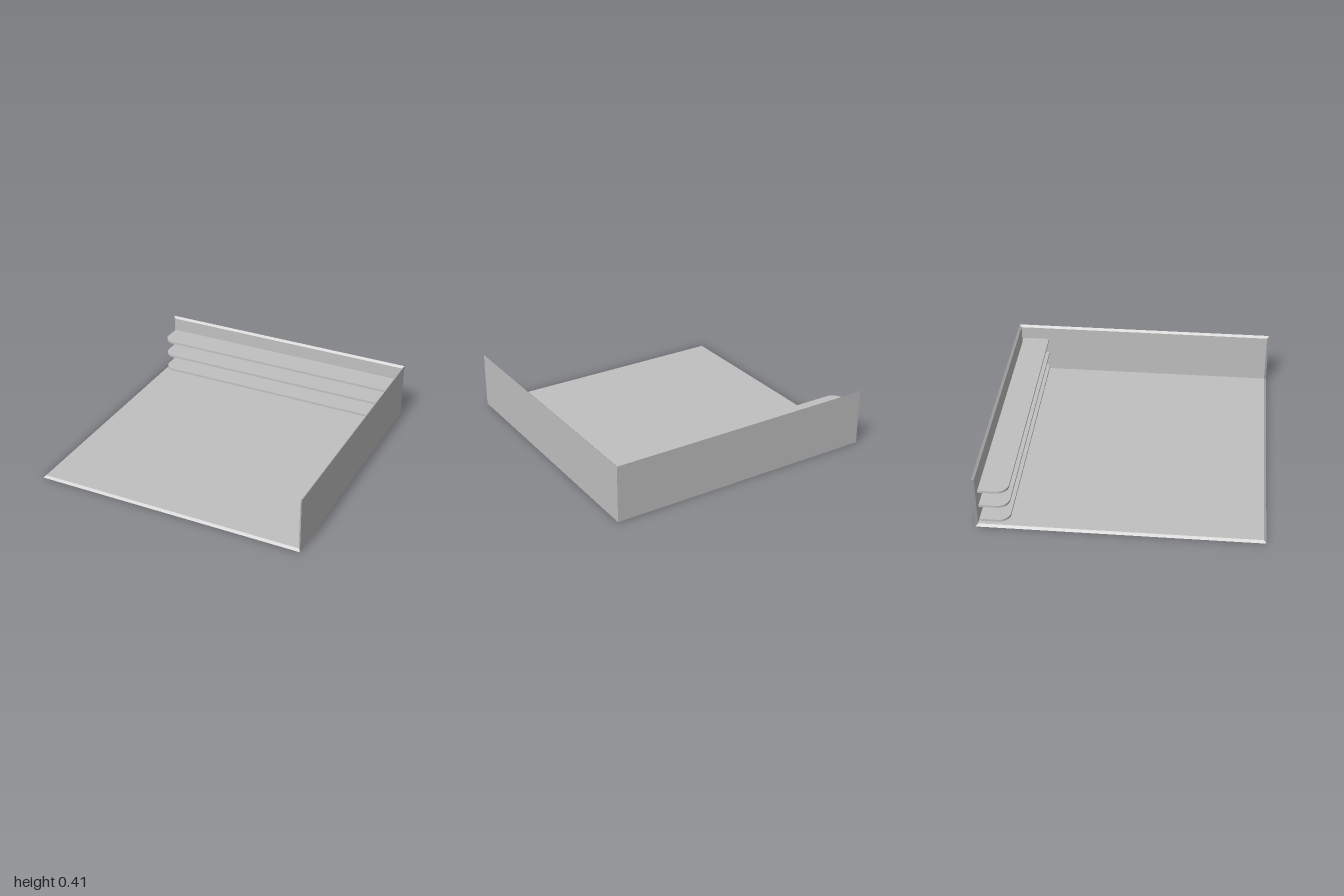
import * as THREE from 'three';

const T = 0.016; // panel thickness
const H = 0.413; // wall height

// Flat panel facing +z whose inner face is inset, giving mitred edges
function panel(name, w, h, material) {
  const geo = new THREE.BoxGeometry(w, h, T);
  geo.translate(0, 0, T / 2);
  const p = geo.attributes.position;
  for (let i = 0; i < p.count; i++) {
    if (p.getZ(i) > T / 2) {
      p.setX(i, p.getX(i) - Math.sign(p.getX(i)) * T);
      p.setY(i, p.getY(i) - Math.sign(p.getY(i)) * T);
    }
  }
  geo.computeVertexNormals();
  const mesh = new THREE.Mesh(geo, material);
  mesh.name = name;
  return mesh;
}

export function createModel() {
  const group = new THREE.Group();
  group.name = 'cornerShelfUnit';
  const grey = new THREE.MeshStandardMaterial({ color: 0xc0c0c0 });
  grey.name = 'light grey';

  // Floor and the two walls meet along mitred edges
  const floor = panel('floor', 2, 2, grey);
  floor.rotation.x = -Math.PI / 2;
  const backWall = panel('backWall', 2, H, grey);
  backWall.position.set(0, H / 2, -1);
  const sideWall = panel('sideWall', 2, H, grey);
  sideWall.rotation.y = -Math.PI / 2;
  sideWall.position.set(1, H / 2, 0);
  group.add(floor, backWall, sideWall);

  // Shelf outline: one rounded corner at the open front end (shape y is -z)
  const x0 = -0.977, x1 = 0.977, back = 0.97, front = 0.765, r = 0.083;
  const outline = new THREE.Shape();
  outline.moveTo(x0 + r, front);
  outline.lineTo(x1, front);
  outline.lineTo(x1, back);
  outline.lineTo(x0, back);
  outline.lineTo(x0, front + r);
  outline.absarc(x0 + r, front + r, r, Math.PI, Math.PI * 1.5, false);
  const shelfGeo = new THREE.ExtrudeGeometry(outline, { depth: 0.017, bevelEnabled: false, curveSegments: 16 });
  shelfGeo.rotateX(-Math.PI / 2);

  // Three evenly spaced shelves
  for (let i = 0; i < 3; i++) {
    const shelf = new THREE.Mesh(shelfGeo, grey);
    shelf.name = 'shelf' + (i + 1);
    shelf.position.y = 0.035 + i * 0.125;
    group.add(shelf);
  }
  return group;
}
